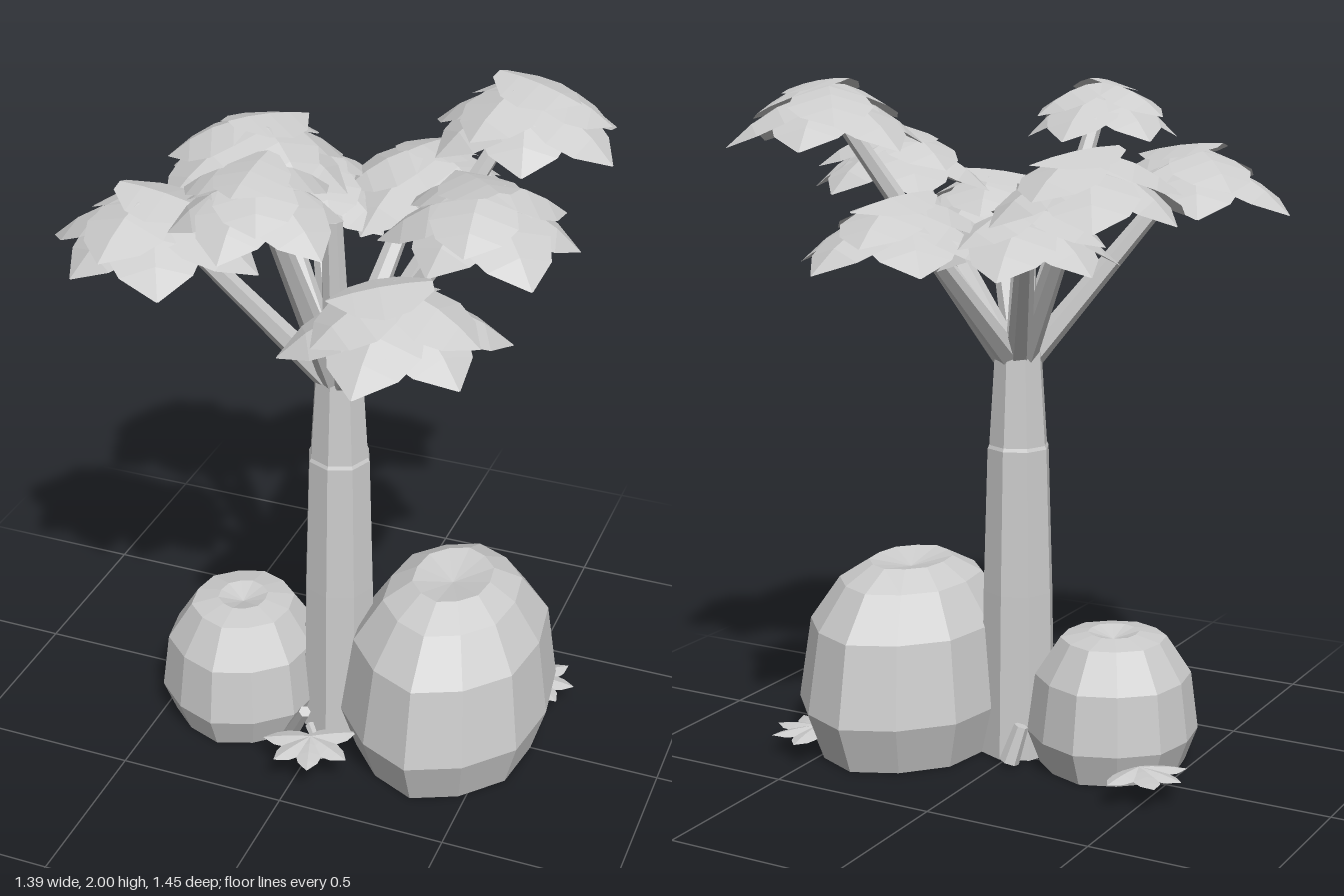
import * as THREE from 'three';

const stone = new THREE.MeshStandardMaterial({ color: 0xcccccc, flatShading: true });
stone.name = 'pale grey';
const leafGrey = new THREE.MeshStandardMaterial({ color: 0xcccccc, flatShading: true, side: THREE.DoubleSide });
leafGrey.name = 'leaf grey';

function add(parent, name, geometry, material = stone) {
  const m = new THREE.Mesh(geometry, material);
  m.name = name;
  parent.add(m);
  return m;
}

// Tapered low-poly limb between two points
function limb(parent, name, from, to, r0, r1, sides = 6) {
  const a = new THREE.Vector3(...from), b = new THREE.Vector3(...to);
  const dir = b.clone().sub(a);
  const m = add(parent, name, new THREE.CylinderGeometry(r1, r0, dir.length(), sides));
  m.position.copy(a).addScaledVector(dir, 0.5);
  m.quaternion.setFromUnitVectors(new THREE.Vector3(0, 1, 0), dir.normalize());
  return m;
}

// Broad pointed leaf growing along +z, folded along its midrib and drooping at the tip
function leafGeometry(length, width, droop) {
  const rows = [0.3, 0.86, 1, 0.74, 0.02];
  const g = new THREE.PlaneGeometry(1, 1, 2, 4);
  const p = g.attributes.position;
  for (let i = 0; i < p.count; i++) {
    const side = p.getX(i) * 2;
    const row = Math.floor(i / 3), t = row / 4;
    const half = rows[row] * width / 2;
    p.setXYZ(i, side * half, -droop * t * t - Math.abs(side) * half * 0.3, t * length);
  }
  g.computeVertexNormals();
  return g;
}

// Umbrella of leaves: a drooping outer ring, a flatter inner ring and a cap leaf
function leafCluster(parent, x, y, z, r, turn) {
  const c = new THREE.Group();
  c.name = 'leafCluster';
  c.position.set(x, y, z);
  c.rotation.y = turn;
  for (let i = 0; i < 6; i++) {
    const k = 1.04 + 0.1 * Math.sin(i * 2.3 + turn * 5);
    const leaf = add(c, 'outerLeaf', leafGeometry(r * k, r * 0.95, r * 0.55), leafGrey);
    leaf.position.y = -0.045;
    leaf.rotation.y = i * Math.PI / 3;
  }
  for (let i = 0; i < 3; i++) {
    const leaf = add(c, 'innerLeaf', leafGeometry(r * 0.9, r * 0.9, r * 0.4), leafGrey);
    leaf.position.y = -0.015;
    leaf.rotation.y = 0.4 + i * Math.PI * 2 / 3;
  }
  const cap = add(c, 'capLeaf', leafGeometry(r, r * 0.85, r * 0.15), leafGrey);
  cap.position.set(0, 0, -r * 0.35);
  parent.add(c);
}

// Squat ribbed boulder with a dented crown
function boulder(parent, name, x, z, rx, rz, h, profile) {
  const sides = 12;
  const g = new THREE.LatheGeometry(profile.map(([r, y]) => new THREE.Vector2(r, y * h)), sides);
  const p = g.attributes.position;
  for (let i = 0; i < p.count; i++) {
    const rib = Math.floor(i / profile.length) % sides;
    const k = 1 - 0.04 * (rib % 2);
    p.setX(i, p.getX(i) * k);
    p.setZ(i, p.getZ(i) * k);
  }
  const m = add(parent, name, g);
  m.position.set(x, 0, z);
  m.scale.set(rx, 1, rz);
}

// Small flat rosette near the ground
function rosette(parent, x, y, z, length, angles) {
  const g = new THREE.Group();
  g.name = 'groundLeaves';
  g.position.set(x, y, z);
  for (const a of angles) {
    add(g, 'groundLeaf', leafGeometry(length, length * 0.55, 0.015), leafGrey).rotation.y = a;
  }
  parent.add(g);
}

export function createModel() {
  const model = new THREE.Group();
  model.name = 'tree';

  // Trunk with a shallow bark seam
  const trunk = add(model, 'trunk', new THREE.LatheGeometry(
    [[0, 0], [0.115, 0], [0.106, 0.5], [0.093, 0.93], [0.088, 0.94], [0.07, 1.22], [0.055, 1.26], [0, 1.26]]
      .map(([r, y]) => new THREE.Vector2(r, y)), 8));
  trunk.position.set(0.015, 0, 0.058);

  // Boulders either side of the trunk
  boulder(model, 'largeBoulder', 0.35, 0, 0.315, 0.41, 0.565,
    [[0, 0], [0.86, 0], [1, 0.26], [0.89, 0.69], [0.63, 0.91], [0.37, 1], [0, 0.95]]);
  boulder(model, 'smallBoulder', -0.28, 0.1, 0.25, 0.26, 0.4,
    [[0, 0], [0.85, 0], [1, 0.25], [0.91, 0.68], [0.62, 0.96], [0.3, 1], [0, 0.94]]);

  // Branches, each ending in a leaf cluster: x, top y, z, leaf reach
  const crowns = [
    [-0.05, 1.98, 0.46, 0.235],
    [0.42, 2.0, -0.3, 0.26],
    [-0.33, 1.83, -0.19, 0.28],
    [0.42, 1.85, 0.07, 0.26],
    [0.31, 1.7, 0.43, 0.27],
    [-0.2, 1.69, -0.29, 0.25],
    [-0.4, 1.81, 0.34, 0.27],
    [0.09, 1.71, -0.45, 0.27],
  ];
  crowns.forEach(([x, y, z, r], i) => {
    limb(model, 'branch', [0.015 + x * 0.08, 1.2, 0.06 + z * 0.08], [x, y - 0.06, z], 0.038, 0.022);
    leafCluster(model, x, y, z, r, i * 1.3);
  });
  limb(model, 'cutBranch', [0.015, 1.2, 0.07], [0.015, 1.69, 0.11], 0.045, 0.03, 8);

  // Shoots and leaves near the ground
  limb(model, 'shoot', [-0.08, 0.02, 0.22], [0.0, 0.18, 0.3], 0.025, 0.018);
  limb(model, 'shoot', [-0.03, 0.01, -0.08], [-0.06, 0.12, -0.06], 0.03, 0.022);
  limb(model, 'shoot', [0.0, 0.1, 0.26], [0.08, 0.08, 0.36], 0.015, 0.01);
  rosette(model, 0.03, 0.12, 0.33, 0.14, [-1.3, -0.5, 0.3, 1.2, 2.2]);
  rosette(model, -0.47, 0.09, -0.12, 0.14, [-2.4, -1.7, -0.9, 2.9]);
  rosette(model, 0.53, 0.08, -0.25, 0.14, [0.9, 1.6, 2.4, 3.2]);

  return model;
}
